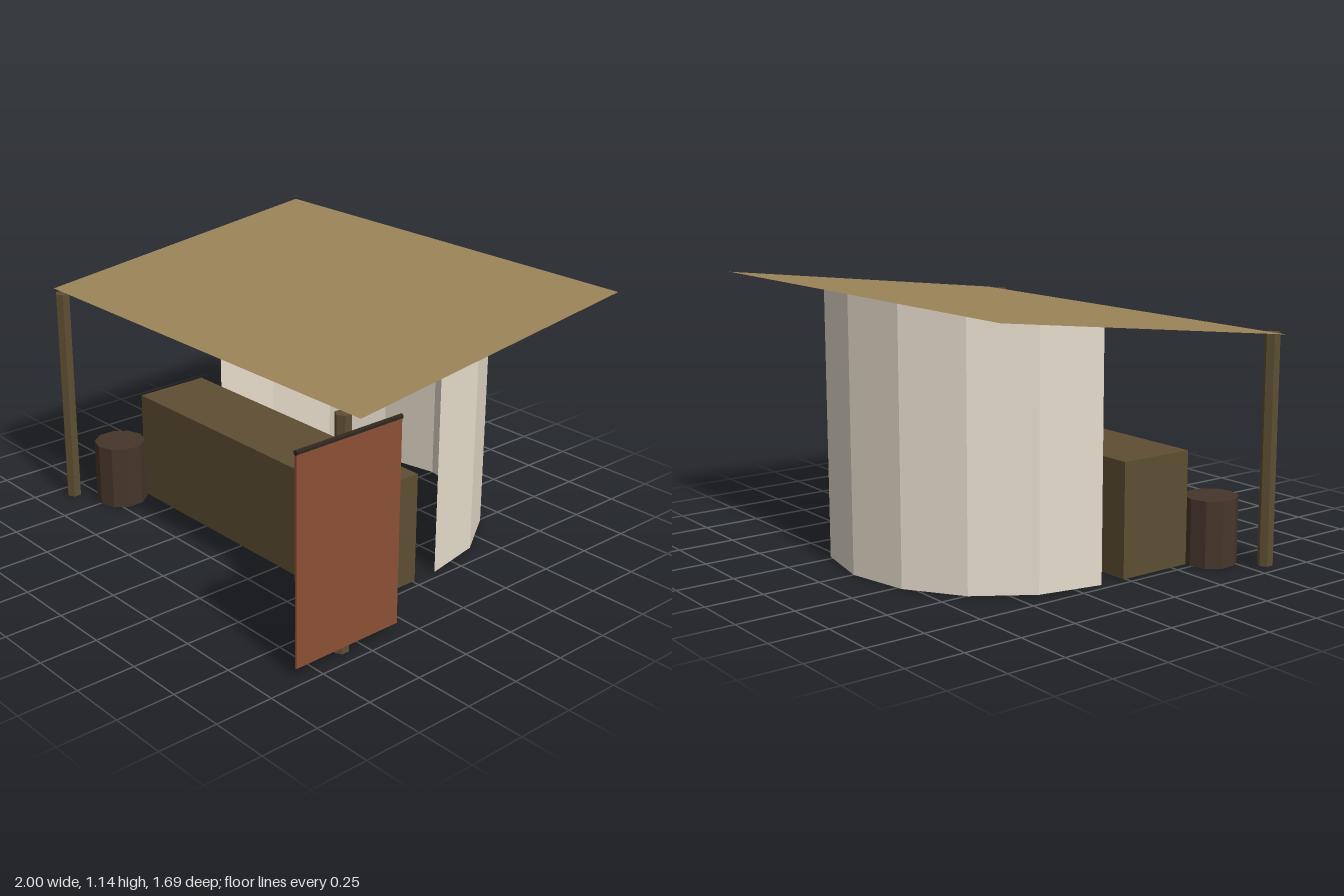
import * as THREE from 'three';

const material = (color, side = THREE.FrontSide) =>
  new THREE.MeshStandardMaterial({ color, side, flatShading: true });

// Height of the sloping roof above any z
const BACK = -0.84, FRONT = 0.58;
const roofHeight = (z) => THREE.MathUtils.mapLinear(z, BACK, FRONT, 1.145, 0.975);

export function createModel() {
  const group = new THREE.Group();
  const add = (name, geometry, mat, x = 0, y = 0, z = 0) => {
    const mesh = new THREE.Mesh(geometry, mat);
    mesh.name = name;
    mesh.position.set(x, y, z);
    group.add(mesh);
    return mesh;
  };

  const canvas = material(0x9c8459, THREE.DoubleSide);
  const plaster = material(0xe6dccb, THREE.DoubleSide);
  const wood = material(0x5e4e33);
  const darkWood = material(0x46362b);
  const cloth = material(0x8c4f35);
  const iron = material(0x30261f);

  // Thin awning roof, sloping down to the front
  const roof = new THREE.PlaneGeometry(2, FRONT - BACK).rotateX(-Math.PI / 2);
  roof.translate(0, 0, (FRONT + BACK) / 2);
  const rp = roof.attributes.position;
  for (let i = 0; i < rp.count; i++) rp.setY(i, roofHeight(rp.getZ(i)));
  roof.computeVertexNormals();
  add('roof', roof, canvas);

  // Half-round back wall, its top cut to the slope of the roof
  const wallZ = -0.127;
  const wall = new THREE.CylinderGeometry(0.713, 0.713, 1, 8, 1, true, Math.PI / 2, Math.PI);
  wall.translate(0, 0.5, wallZ);
  const wp = wall.attributes.position;
  for (let i = 0; i < wp.count; i++) {
    if (wp.getY(i) > 0.5) wp.setY(i, roofHeight(wp.getZ(i)));
  }
  wall.computeVertexNormals();
  add('backWall', wall, plaster);

  // Counter
  add('counter', new THREE.BoxGeometry(1.425, 0.485, 0.342), wood, 0, 0.2425, 0.16);

  // Front posts and barrels, mirrored
  const post = new THREE.CylinderGeometry(0.033, 0.033, 0.975, 6);
  const barrel = new THREE.CylinderGeometry(0.114, 0.114, 0.285, 10);
  for (const [side, s] of [['left', 1], ['right', -1]]) {
    add(side + 'Post', post, wood, s * 0.917, 0.4875, 0.588);
    add(side + 'Barrel', barrel, darkWood, s * 0.742, 0.1425, 0.44);
  }

  // Hanging banner and its rod on the left post
  add('banner', new THREE.BoxGeometry(0.009, 0.865, 0.513), cloth, 0.953, 0.471, 0.588);
  const rod = new THREE.CylinderGeometry(0.011, 0.011, 0.515, 6).rotateX(Math.PI / 2);
  add('bannerRod', rod, iron, 0.953, 0.904, 0.588);

  return group;
}
